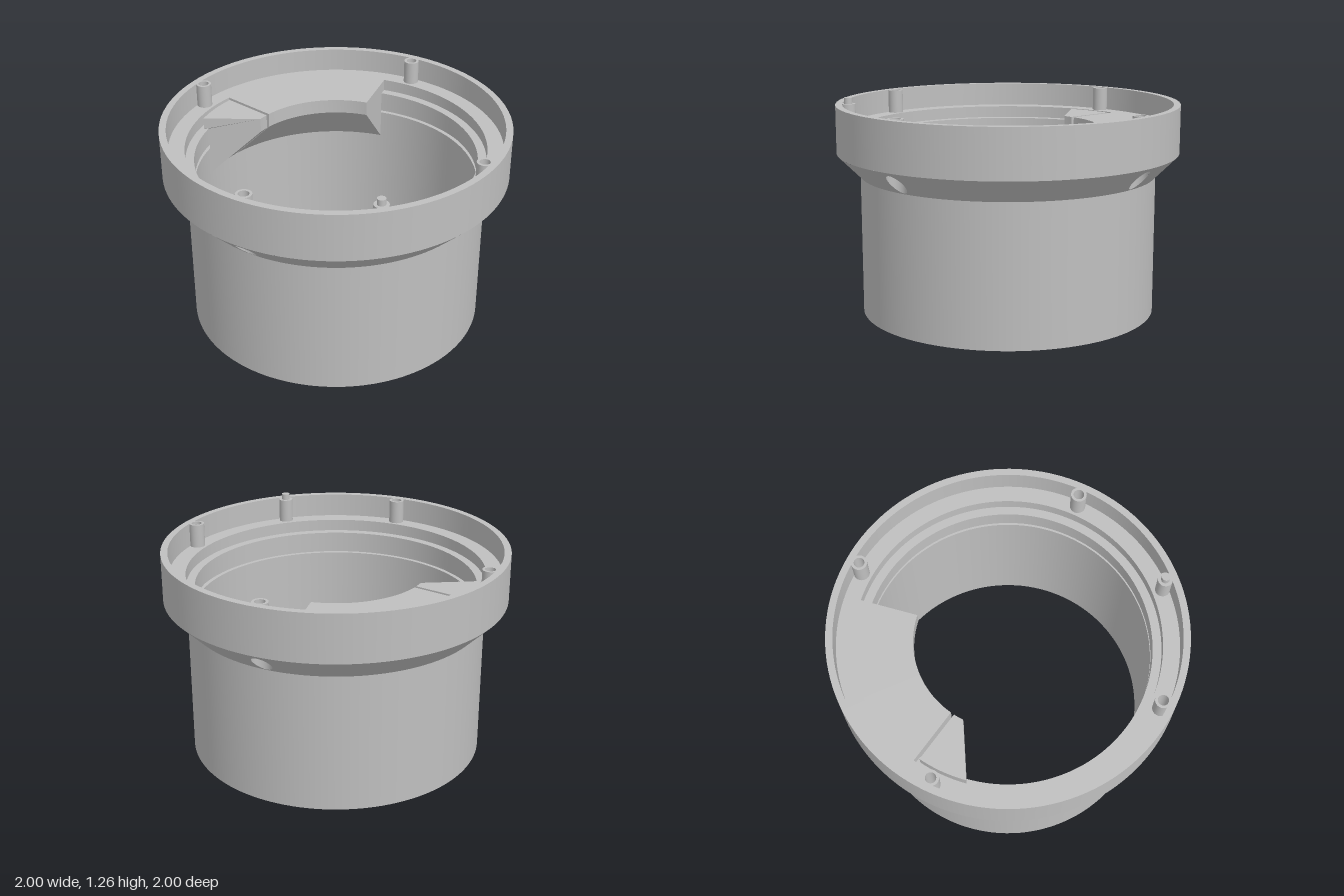
import * as THREE from 'three';
import { mergeGeometries, toCreasedNormals } from 'three/addons/utils/BufferGeometryUtils.js';

const SEG = 128;
const RAD = Math.PI / 180;
const SCREW_R = 0.926; // distance of the screw holes and pin from the axis

// Revolved surface with a hard edge at every profile point
function revolve(points, seg = SEG, start = 0, length = Math.PI * 2) {
  const parts = [];
  for (let i = 0; i < points.length - 1; i++) {
    const pair = [points[i], points[i + 1]].map(([r, y]) => new THREE.Vector2(r, y));
    parts.push(new THREE.LatheGeometry(pair, seg, start, length));
  }
  return mergeGeometries(parts);
}

function circleHole(x, y, r) {
  return new THREE.Path().absarc(x, y, r, 0, Math.PI * 2, true);
}

const coneY = (x, z) => Math.hypot(x, z) - 0.05;

// Conical underside of the flange, pierced by four vertical holes
function coneGeometry() {
  const parts = [];
  const c = SCREW_R * Math.SQRT1_2;
  for (let k = 0; k < 4; k++) {
    parts.push(new THREE.LatheGeometry(
      [new THREE.Vector2(0.865, 0.815), new THREE.Vector2(1, 0.95)],
      28, (51 + 90 * k) * RAD, 78 * RAD));
    const patch = new THREE.Shape();
    patch.absarc(0, 0, 1, 39 * RAD, 51 * RAD, false);
    patch.absarc(0, 0, 0.865, 51 * RAD, 39 * RAD, true);
    patch.holes.push(circleHole(c, c, 0.055));
    const g = new THREE.ShapeGeometry(patch, 24).rotateX(Math.PI / 2);
    const p = g.attributes.position, n = g.attributes.normal;
    for (let i = 0; i < p.count; i++) {
      const x = p.getX(i), z = p.getZ(i), r = Math.hypot(x, z);
      p.setY(i, coneY(x, z));
      n.setXYZ(i, x / r * Math.SQRT1_2, -Math.SQRT1_2, z / r * Math.SQRT1_2);
    }
    parts.push(g.rotateY(k * Math.PI / 2));
  }
  return mergeGeometries(parts);
}

// Flat floor of the upper recess with screw holes
function floorGeometry() {
  const ring = new THREE.Shape().absarc(0, 0, 0.962, 0, Math.PI * 2, false);
  ring.holes.push(circleHole(0, 0, 0.865));
  const c = SCREW_R * Math.SQRT1_2;
  for (const sx of [-1, 1]) for (const sy of [-1, 1]) ring.holes.push(circleHole(sx * c, sy * c, 0.03));
  return new THREE.ShapeGeometry(ring, 64).rotateX(-Math.PI / 2).translate(0, 1.09, 0);
}

// Counterbore, shaft and boss of one screw hole, centred at (c, c)
function screwGeometry() {
  const c = SCREW_R * Math.SQRT1_2;
  const g = revolve([
    [0.045, 1.09], [0.045, 1.23], [0.03, 1.23], [0.03, 0.95], [0.055, 0.95], [0.055, 0.8],
  ], 32).translate(c, 0, c);
  const p = g.attributes.position;
  for (let i = 0; i < p.count; i++) {
    if (p.getY(i) < 0.81) p.setY(i, coneY(p.getX(i), p.getZ(i)));
  }
  return g;
}

// Solid swept between two angles, each a function of radius (0 = back, positive towards +x)
function wedgeGeometry(profile, start, end, steps) {
  const pos = [], index = [], n = profile.length;
  for (let j = 0; j <= steps; j++) {
    for (const [r, y] of profile) {
      const a = THREE.MathUtils.lerp(start(r), end(r), j / steps) * RAD;
      pos.push(r * Math.sin(a), y, -r * Math.cos(a));
    }
  }
  for (let j = 0; j < steps; j++) {
    for (let i = 0; i < n; i++) {
      const a = j * n + i, b = j * n + (i + 1) % n;
      index.push(a, b, b + n, a, b + n, a + n);
    }
  }
  const last = steps * n;
  for (let i = 1; i < n - 1; i++) {
    index.push(0, i + 1, i);
    index.push(last, last + i, last + i + 1);
  }
  const g = new THREE.BufferGeometry();
  g.setAttribute('position', new THREE.Float32BufferAttribute(pos, 3));
  g.setIndex(index);
  return toCreasedNormals(g, 25 * RAD);
}

export function createModel() {
  const group = new THREE.Group();
  const grey = new THREE.MeshStandardMaterial({ color: 0xbfbfbf });
  grey.name = 'light grey';
  const add = (name, geometry) => {
    const mesh = new THREE.Mesh(geometry, grey);
    mesh.name = name;
    group.add(mesh);
    return mesh;
  };

  // Tube and flange
  add('outerTube', revolve([[0.865, 0], [0.865, 0.815]]));
  add('flangeCone', coneGeometry());
  add('rim', revolve([[1, 0.95], [1, 1.23], [0.96, 1.23], [0.96, 1.09]]));
  add('recessFloor', floorGeometry());
  // Stepped bore with a thin groove
  add('bore', revolve([
    [0.865, 1.09], [0.865, 1.02], [0.815, 1.02], [0.815, 0.91], [0.84, 0.91],
    [0.84, 0.885], [0.815, 0.885], [0.815, 0], [0.865, 0],
  ]));

  // Four screw bosses
  const screw = screwGeometry();
  for (let k = 0; k < 4; k++) add('screwBoss', screw).rotation.y = k * Math.PI / 2;

  // Locating pin at the front
  add('locatingPin', revolve([
    [0.042, 1.09], [0.042, 1.23], [0.024, 1.23], [0.024, 1.265], [0, 1.265],
  ], 32).translate(0, 0, SCREW_R));

  // Overhanging shelf at the back, and the small piece beside it across a slit
  const shelfProfile = (rOut) => [
    [0.53, 1.09], [0.53, 1.005], [0.816, 0.719], [0.816, 1.019], [rOut, 1.019], [rOut, 1.09],
  ];
  add('shelf', wedgeGeometry(shelfProfile(0.866), () => -35, () => 35, 32));
  const slitSide = (r) => -35 - Math.asin(0.02 / r) / RAD;
  const farSide = (r) => -43.5 - (r - 0.53) / 0.31 * 12;
  add('shelfEndPiece', wedgeGeometry(shelfProfile(0.84), farSide, slitSide, 10));

  return group;
}
